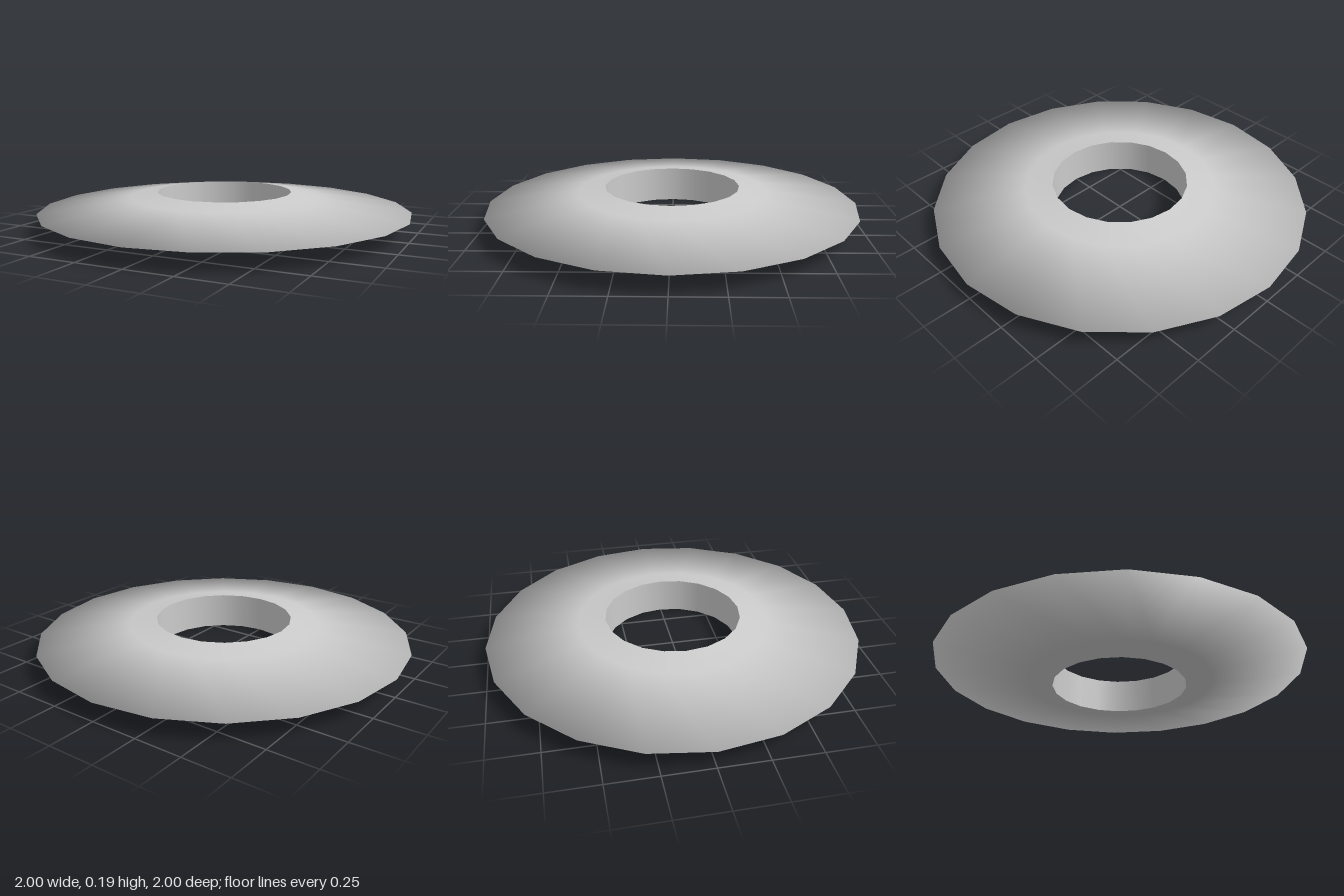
import * as THREE from 'three';

const SIDES = 20;
const HOLE = 0.363; // hole radius
const TOP = 0.19; // thickness at the hole
const MID = TOP / 2; // height of the sharp rim

export function createModel() {
  const group = new THREE.Group();
  group.name = 'ring';
  const material = new THREE.MeshStandardMaterial({ color: 0xcccccc });

  const addLathe = (name, profile) => {
    const points = profile.map(([r, y]) => new THREE.Vector2(r, y));
    const mesh = new THREE.Mesh(new THREE.LatheGeometry(points, SIDES), material);
    mesh.name = name;
    group.add(mesh);
  };

  // Tapered blade, shaded smoothly around its thin outer rim
  addLathe('blade', [
    [HOLE, 0],
    [0.51, 0.026],
    [1, MID],
    [0.51, TOP - 0.026],
    [HOLE, TOP],
  ]);

  // Straight wall of the central hole, facing inward
  addLathe('holeWall', [
    [HOLE, TOP],
    [HOLE, 0],
  ]);

  return group;
}
